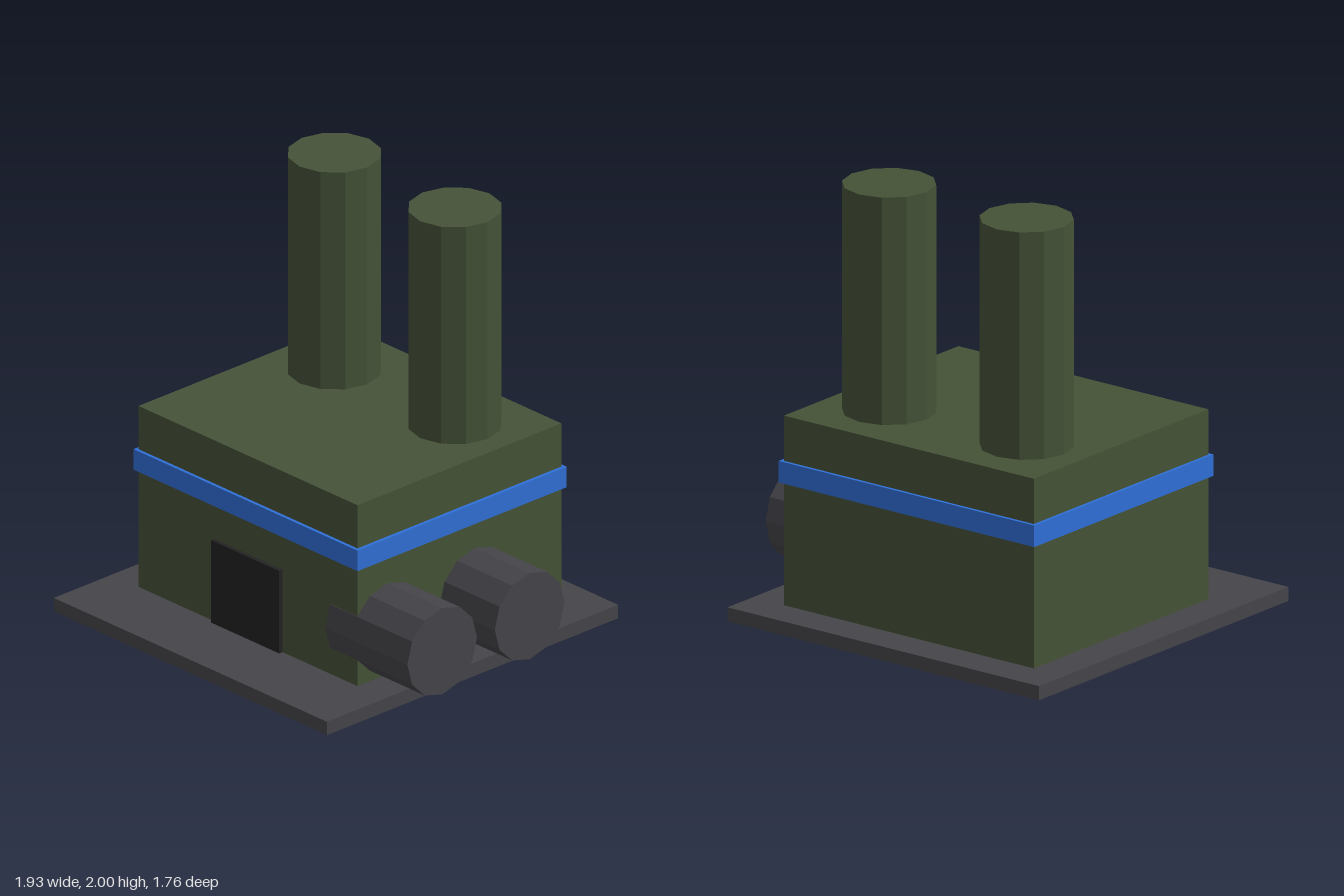
import * as THREE from 'three';

const mat = (name, color, flat = true) => {
  const m = new THREE.MeshStandardMaterial({ color, flatShading: flat });
  m.name = name;
  return m;
};

export function createModel() {
  const model = new THREE.Group();
  model.name = 'factory';

  const green = mat('wallGreen', 0x455237);
  const grey = mat('darkGrey', 0x454449);
  const black = mat('doorBlack', 0x222222);
  const blue = mat('bandBlue', 0x2f6fd6);

  const add = (name, geometry, material, x, y, z) => {
    const mesh = new THREE.Mesh(geometry, material);
    mesh.name = name;
    mesh.position.set(x, y, z);
    model.add(mesh);
    return mesh;
  };
  // Box given by its lower and upper corners
  const box = (name, material, [x0, y0, z0], [x1, y1, z1]) =>
    add(name, new THREE.BoxGeometry(x1 - x0, y1 - y0, z1 - z0), material,
      (x0 + x1) / 2, (y0 + y1) / 2, (z0 + z1) / 2);

  // Ground slab, hall, coloured band and doorway
  box('baseSlab', grey, [-0.967, 0, -0.88], [0.787, 0.065, 0.88]);
  box('hall', green, [-0.795, 0.065, -0.702], [0.611, 0.945, 0.53]);
  box('band', blue, [-0.81, 0.635, -0.718], [0.628, 0.735, 0.546]);
  box('door', black, [-0.308, 0.065, 0.51], [0.13, 0.466, 0.55]);

  // Twelve-sided chimneys on the roof
  const chimney = new THREE.CylinderGeometry(0.21, 0.21, 1.1, 12);
  for (const [name, x] of [['rightChimney', -0.478], ['leftChimney', 0.296]])
    add(name, chimney, green, x, 1.45, -0.355);

  // Twelve-sided tanks lying through the left wall
  const tank = new THREE.CylinderGeometry(0.21, 0.21, 0.527, 12).rotateZ(Math.PI / 2);
  for (const [name, z] of [['frontTank', 0.35], ['rearTank', -0.178]])
    add(name, tank, grey, 0.7005, 0.298, z);

  return model;
}
